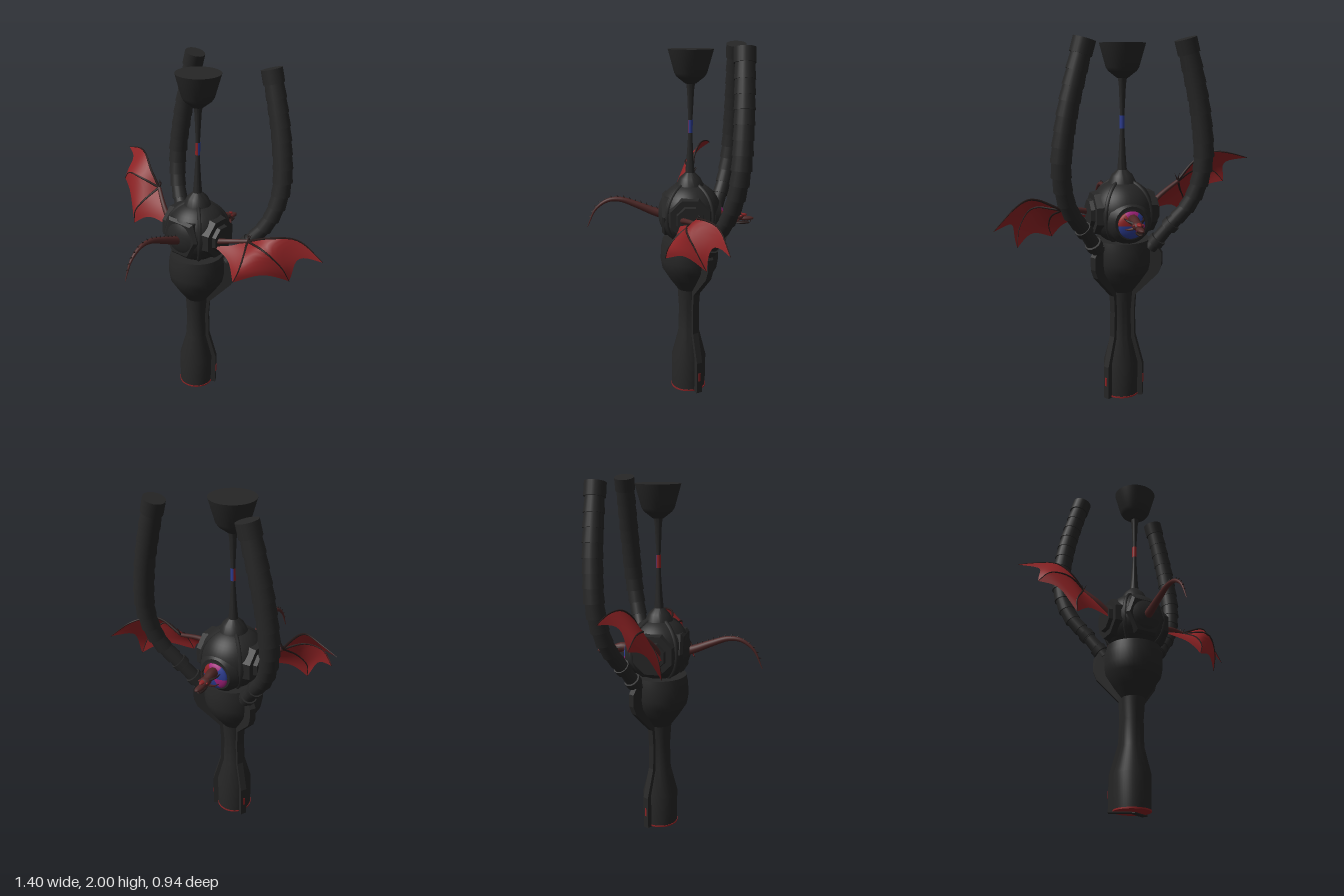
import * as THREE from 'three';
import { toCreasedNormals } from 'three/addons/utils/BufferGeometryUtils.js';

const mat = (name, color, side = THREE.FrontSide) => {
  const m = new THREE.MeshStandardMaterial({ color, side });
  m.name = name;
  return m;
};
const V = (x, y, z) => new THREE.Vector3(x, y, z);

export function createModel() {
  const iron = mat('black iron', 0x262626);
  const seam = mat('dark seam', 0x191919);
  const membrane = mat('wing red', 0x8c2224, THREE.DoubleSide);
  const hide = mat('brown hide', 0x4c2625);
  const bone = mat('dark bone', 0x261a19);
  const blue = mat('glass blue', 0x2c3c90, THREE.DoubleSide);
  const magenta = mat('glass magenta', 0xa0207a, THREE.DoubleSide);
  const root = new THREE.Group();

  const add = (parent, name, geo, material, pos = [0, 0, 0]) => {
    const m = new THREE.Mesh(geo, material);
    m.name = name;
    m.position.set(...pos);
    parent.add(m);
    return m;
  };
  const lathe = (pts, n = 40) => toCreasedNormals(
    new THREE.LatheGeometry(pts.map(p => new THREE.Vector2(...p)), n), 0.5);
  // Tube along points whose radius runs from r0 to r1
  const taper = (pts, r0, r1, seg = 20, sides = 8) => {
    const curve = new THREE.CatmullRomCurve3(pts);
    const geo = new THREE.TubeGeometry(curve, seg, 1, sides);
    const p = geo.attributes.position, v = V(0, 0, 0);
    for (let i = 0; i < p.count; i++) {
      const t = Math.floor(i / (sides + 1)) / seg;
      const c = curve.getPointAt(t);
      v.fromBufferAttribute(p, i).sub(c).multiplyScalar(r0 + (r1 - r0) * t).add(c);
      p.setXYZ(i, v.x, v.y, v.z);
    }
    return geo;
  };
  // Cone standing at a point and pointing along a direction
  const spike = (parent, name, at, dir, r, len, material) => {
    const d = dir.clone().normalize();
    const m = add(parent, name, new THREE.ConeGeometry(r, len, 6), material);
    m.quaternion.setFromUnitVectors(V(0, 1, 0), d);
    m.position.copy(at).addScaledVector(d, len / 2);
  };

  // ---- Central tower ----
  const tower = new THREE.Group();
  tower.name = 'tower';
  tower.position.set(-0.03, 0, -0.107);
  root.add(tower);
  add(tower, 'column', lathe([[0, 0.01], [0.098, 0.01], [0.1, 0.2], [0.062, 0.35], [0.058, 0.5], [0.066, 0.62],
    [0.11, 0.68], [0.155, 0.75], [0.164, 0.8], [0.162, 0.87], [0.152, 0.92], [0, 0.92]]), iron);
  add(tower, 'baseTrim', new THREE.CylinderGeometry(0.101, 0.101, 0.008, 40), membrane, [0, 0.009, 0]);
  add(tower, 'orb', new THREE.SphereGeometry(0.178, 40, 28), iron, [0, 1.07, 0]);
  add(tower, 'spire', lathe([[0, 1.16], [0.095, 1.17], [0.08, 1.225], [0.058, 1.27], [0.026, 1.3], [0.02, 1.37],
    [0.012, 1.5], [0.012, 1.6], [0.019, 1.75], [0.024, 1.785]]), iron);
  add(tower, 'bowl', lathe([[0, 1.78], [0.03, 1.785], [0.075, 1.82], [0.088, 1.84], [0.123, 1.965], [0, 1.965]]), iron);
  const arc = (a, l, m, n) => add(tower, n, new THREE.CylinderGeometry(0.0135, 0.0135, 0.07, 10, 1, true, a, l), m, [0, 1.555, 0]);
  arc(-Math.PI * 0.75, Math.PI, membrane, 'spireRedMark');
  arc(Math.PI * 0.25, Math.PI, blue, 'spireBlueMark');

  // Stepped octagonal plates on both sides of the orb
  for (const s of [-1, 1]) {
    const plates = [[0.125, 0.115, 0.05, 0.145], [0.085, 0.075, 0.04, 0.172]];
    for (const [r0, r1, h, x] of plates) {
      const g = new THREE.CylinderGeometry(r1, r0, h, 8).toNonIndexed();
      g.rotateY(Math.PI / 8);
      g.rotateZ(-s * Math.PI / 2);
      g.computeVertexNormals();
      add(tower, 'sidePlate', g, iron, [s * x, 1.07, 0]);
    }
  }
  // Faceted front plate with its slit
  const outline = [[-0.075, 0.1], [0.075, 0.1], [0.105, 0.01], [0.055, -0.09], [-0.055, -0.09], [-0.105, 0.01]];
  const shape = new THREE.Shape(outline.map(p => new THREE.Vector2(...p)).reverse());
  add(tower, 'frontPlate', new THREE.ExtrudeGeometry(shape,
    { depth: 0.04, bevelSize: 0.015, bevelThickness: 0.015, bevelSegments: 1 }), iron, [0, 1.06, 0.1]);
  const slit = add(tower, 'frontSlit', new THREE.CircleGeometry(0.02, 20), seam, [0, 1.07, 0.157]);
  slit.scale.y = 4;
  // Curved straps over the orb
  for (const a of [Math.PI / 4, -Math.PI / 4]) {
    const strap = add(tower, 'orbStrap', new THREE.TorusGeometry(0.176, 0.012, 6, 40), iron, [0, 1.07, 0]);
    strap.rotation.y = a;
  }
  // Rear collar with a domed window in coloured sectors
  const collar = lathe([[0.13, 0], [0.12, 0.05], [0.09, 0.085], [0.075, 0.085]], 24);
  collar.rotateX(-Math.PI / 2);
  add(tower, 'rearCollar', collar, iron, [0, 1.04, -0.09]);
  const panes = [blue, magenta, membrane, blue, blue, magenta];
  panes.forEach((m, i) => {
    const g = new THREE.SphereGeometry(0.075, 6, 6, i * Math.PI / 3, Math.PI / 3, 0, Math.PI / 2);
    g.scale(1, 0.35, 1);
    g.rotateX(-Math.PI / 2);
    add(tower, 'rearWindowPane', g, m, [0, 1.03, -0.172]);
  });

  // Conduit ribs running up the tower to the hoses
  const ribShape = new THREE.Shape([[0, 0], [0.125, 0], [0.125, 0.19], [0.078, 0.36], [0.074, 0.5], [0.08, 0.6],
    [0.205, 0.73], [0.225, 0.78], [0.225, 0.85], [0.19, 0.9], [0, 0.9]].map(p => new THREE.Vector2(...p)));
  for (const a of [Math.PI / 6, Math.PI * 5 / 6]) {
    const g = new THREE.ExtrudeGeometry(ribShape, { depth: 0.035, bevelEnabled: false });
    g.translate(0, 0, -0.0175);
    const rib = add(tower, 'conduitRib', g, iron);
    rib.rotation.y = a;
    add(rib, 'ribMark', new THREE.BoxGeometry(0.006, 0.05, 0.012), membrane, [0.125, 0.1, 0]);
  }

  // ---- Segmented hoses ----
  for (const s of [-1, 1]) {
    const hose = new THREE.Group();
    hose.name = s > 0 ? 'leftHose' : 'rightHose';
    hose.position.x = -0.018;
    root.add(hose);
    const path = new THREE.CatmullRomCurve3([[0.15, 0.88, -0.2], [0.23, 1.0, -0.25], [0.335, 1.15, -0.31],
      [0.378, 1.34, -0.35], [0.352, 1.6, -0.365], [0.302, 1.82, -0.368], [0.258, 1.982, -0.368]]
      .map(([x, y, z]) => V(s * x, y, z)));
    const n = 16;
    for (let i = 0; i < n; i++) {
      const a = path.getPointAt(i / n), b = path.getPointAt((i + 1) / n);
      const r = 0.034 + 0.019 * Math.min(1, i / 8);
      const last = i === n - 1;
      const len = a.distanceTo(b);
      const g = new THREE.CylinderGeometry(last ? 0.057 : r * 0.93, last ? 0.057 : r * 1.04, len * (last ? 1 : 1.15), 20);
      const m = add(hose, last ? 'hoseEnd' : 'hoseSegment', g, iron);
      m.position.copy(a).lerp(b, 0.5);
      m.quaternion.setFromUnitVectors(V(0, 1, 0), b.clone().sub(a).normalize());
      if (i === 0 || i === 2) {
        const ring = add(m, 'hoseCollar', new THREE.CylinderGeometry(0.046, 0.046, 0.035, 12), iron);
        ring.position.y = i === 0 ? 0.01 : -0.02;
      }
    }
  }

  // ---- Dragon wings ----
  // Each finger is a curve from the wrist; skin spans neighbouring fingers
  const wing = (name, shoulder, wrist, fingers) => {
    const g = new THREE.Group();
    g.name = name;
    root.add(g);
    const W = V(...wrist);
    const curves = fingers.map(f => new THREE.CatmullRomCurve3([W, ...f.map(p => V(...p))]));
    const nu = 10, nt = 10;
    for (let k = 0; k + 1 < curves.length; k++) {
      const pos = [], idx = [];
      for (let j = 0; j <= nt; j++) for (let i = 0; i <= nu; i++) {
        const u = i / nu, t = j / nt * (1 - 0.2 * Math.sin(Math.PI * u));
        const p = curves[k].getPoint(t).lerp(curves[k + 1].getPoint(t), u);
        pos.push(p.x, p.y, p.z);
        if (i < nu && j < nt) {
          const a = j * (nu + 1) + i, b = a + nu + 1;
          idx.push(a, b, a + 1, b, b + 1, a + 1);
        }
      }
      const geo = new THREE.BufferGeometry();
      geo.setAttribute('position', new THREE.Float32BufferAttribute(pos, 3));
      geo.setIndex(idx);
      geo.computeVertexNormals();
      add(g, 'wingMembrane', geo, membrane);
    }
    curves.slice(0, -1).forEach(c => add(g, 'wingFinger', taper(c.getPoints(8), 0.008, 0.002, 16, 6), bone));
    const S = V(...shoulder);
    add(g, 'wingArm', taper([S, S.clone().lerp(W, 0.5).add(V(0, 0.004, 0.01)), W], 0.017, 0.011, 8), hide);
    for (let i = -1; i <= 1; i++)
      spike(g, 'wingClaw', W, V(i * 0.5, 1, -0.4 + 0.3 * i), 0.006, 0.05, bone);
  };
  wing('leftWing', [0.13, 1.065, -0.06], [0.31, 1.1, -0.13], [
    [[0.46, 1.168, -0.14], [0.565, 1.155, -0.23], [0.695, 1.045, -0.285]],
    [[0.46, 1.11, -0.08], [0.54, 1.02, -0.13], [0.56, 0.925, -0.18]],
    [[0.35, 1.05, -0.04], [0.355, 0.98, 0.01], [0.335, 0.92, 0.025]],
    [[0.24, 1.07, -0.08], [0.14, 1.04, -0.05]]]);
  wing('rightWing', [-0.19, 1.065, -0.06], [-0.345, 1.225, -0.13], [
    [[-0.42, 1.32, -0.14], [-0.5, 1.385, -0.18], [-0.59, 1.385, -0.22], [-0.7, 1.355, -0.245]],
    [[-0.45, 1.27, -0.09], [-0.56, 1.27, -0.1], [-0.62, 1.21, -0.12]],
    [[-0.39, 1.16, -0.05], [-0.43, 1.09, -0.01], [-0.43, 1.015, 0]],
    [[-0.28, 1.14, -0.08], [-0.2, 1.05, -0.05]]]);

  // ---- Dragon tail, out through the front slit ----
  const cx = -0.03;
  const tailPts = [[1.055, 0.02], [1.075, 0.09], [1.115, 0.19], [1.145, 0.28], [1.14, 0.35], [1.09, 0.42], [0.985, 0.47]]
    .map(([y, z]) => V(cx, y, z));
  add(root, 'tail', taper(tailPts, 0.027, 0.002, 36, 10), hide);
  const tailCurve = new THREE.CatmullRomCurve3(tailPts);
  for (let i = 1; i < 16; i++) {
    const t = i / 17, d = tailCurve.getTangentAt(t);
    const up = V(0, d.z, -d.y);
    const at = tailCurve.getPointAt(t).addScaledVector(up, 0.024 * (1 - t));
    spike(root, 'tailSpike', at, up.addScaledVector(d, 0.6), 0.005, 0.016, bone);
  }

  // ---- Dragon head, out of the rear window ----
  const head = new THREE.Group();
  head.name = 'dragonHead';
  head.position.set(cx, 0, 0);
  root.add(head);
  add(head, 'neck', taper([V(0, 1.04, -0.25), V(0, 1.065, -0.31), V(0, 1.05, -0.37)], 0.032, 0.024, 10, 10), hide);
  const blob = (name, size, pos, m) => add(head, name, new THREE.SphereGeometry(1, 14, 10), m, pos).scale.set(...size);
  blob('skull', [0.03, 0.024, 0.038], [0, 1.048, -0.375], hide);
  blob('snout', [0.019, 0.013, 0.048], [0, 1.037, -0.42], hide);
  blob('crest', [0.015, 0.01, 0.045], [0, 1.058, -0.385], membrane);
  blob('lowerJaw', [0.016, 0.008, 0.042], [0, 1.012, -0.405], bone);
  for (const s of [-1, 1]) {
    blob('eye', [0.005, 0.005, 0.007], [s * 0.024, 1.055, -0.395], membrane);
    add(head, 'horn', taper([V(s * 0.02, 1.06, -0.37), V(s * 0.045, 1.07, -0.345), V(s * 0.05, 1.075, -0.31)], 0.009, 0.002, 8, 6), bone);
    add(head, 'cheekHorn', taper([V(s * 0.022, 1.035, -0.38), V(s * 0.046, 1.025, -0.355), V(s * 0.048, 1.02, -0.325)], 0.008, 0.002, 8, 6), hide);
    for (let i = 0; i < 3; i++)
      spike(head, 'tooth', V(s * 0.012, 1.03, -0.415 - i * 0.018), V(0, -1, 0), 0.003, 0.012, bone);
  }
  return root;
}
